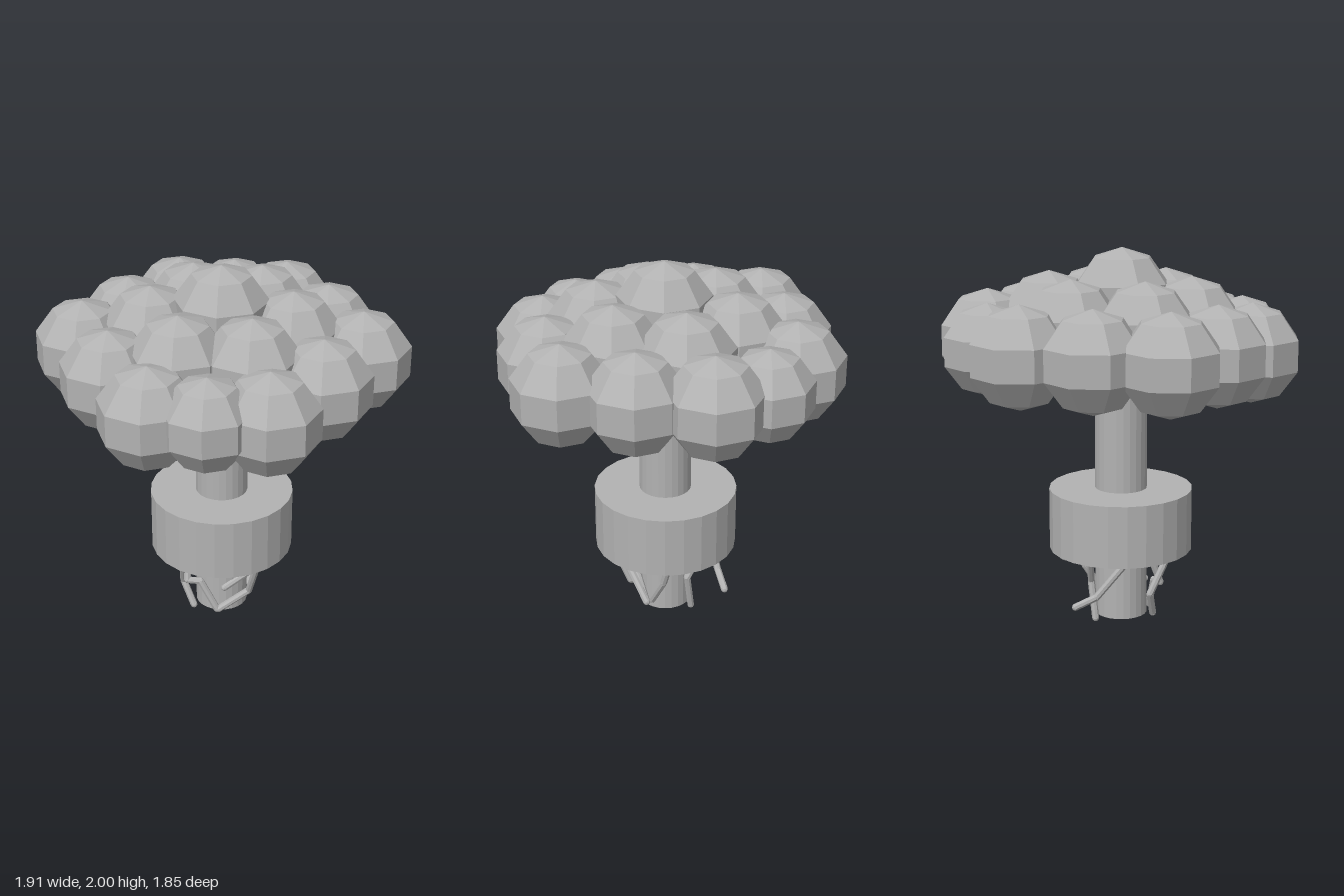
import * as THREE from 'three';

export function createModel() {
  const model = new THREE.Group();
  model.name = 'pottedTree';
  const grey = new THREE.MeshStandardMaterial({ color: 0xb2b2b2, flatShading: true });
  grey.name = 'plainGrey';

  function add(name, geometry, x, y, z, parent = model) {
    const mesh = new THREE.Mesh(geometry, grey);
    mesh.name = name;
    mesh.position.set(x, y, z);
    parent.add(mesh);
    return mesh;
  }

  // Trunk running through the pot up into the crown
  add('trunk', new THREE.CylinderGeometry(0.135, 0.14, 1.6, 24), 0, 0.83, 0.01);
  add('pot', new THREE.CylinderGeometry(0.38, 0.38, 0.33, 24), 0, 0.565, 0.008);

  // Crown: [x, y, z, radius], mirrored wherever x is not zero
  const crown = new THREE.Group();
  crown.name = 'crown';
  model.add(crown);
  const puffs = [
    [0, 1.742, 0.015, 0.258],
    [0.36, 1.612, 0.005, 0.26], [0.18, 1.6, 0.33, 0.26], [0.18, 1.615, -0.32, 0.26],
    [0.71, 1.517, 0, 0.26], [0.525, 1.505, 0.325, 0.26], [0.525, 1.52, -0.325, 0.26],
    [0.29, 1.463, 0.62, 0.262], [0.29, 1.52, -0.62, 0.262],
    [0, 1.48, 0.695, 0.237], [0, 1.515, -0.7, 0.237],
  ];
  for (const [x, y, z, r] of puffs) {
    for (const side of x ? [1, -1] : [1]) {
      add('leafPuff', new THREE.SphereGeometry(r, 8, 5), side * x, y, z, crown);
    }
  }

  // Roots: bent chains of thin rods hanging below the pot
  const roots = new THREE.Group();
  roots.name = 'roots';
  model.add(roots);
  const up = new THREE.Vector3(0, 1, 0);
  function root(points, r = 0.019) {
    const p = points.map((a) => new THREE.Vector3(...a));
    for (let i = 0; i + 1 < p.length; i++) {
      const dir = p[i + 1].clone().sub(p[i]);
      const mid = p[i].clone().add(p[i + 1]).multiplyScalar(0.5);
      const rod = add('rootRod', new THREE.CylinderGeometry(r, r, dir.length(), 8), mid.x, mid.y, mid.z, roots);
      rod.quaternion.setFromUnitVectors(up, dir.normalize());
      add('rootJoint', new THREE.SphereGeometry(r, 8, 6), p[i + 1].x, p[i + 1].y, p[i + 1].z, roots);
    }
  }
  root([[0.32, 0.41, -0.02], [0.345, 0.245, -0.2], [0.17, 0.245, 0.06], [0.03, 0.185, 0.16]]);
  root([[0.22, 0.41, 0.22], [0.16, 0.15, 0.12], [0, 0.05, 0.17]]);
  root([[-0.18, 0.41, 0.1], [-0.17, 0.23, 0.17], [-0.1, 0.22, 0.16], [-0.01, 0.05, 0.17]]);
  root([[-0.26, 0.41, -0.04], [-0.2, 0.2, -0.2], [-0.15, 0.14, -0.3]]);
  root([[-0.19, 0.41, 0.22], [-0.2, 0.18, 0.1], [-0.14, 0.05, 0.14]]);
  root([[0.17, 0.41, -0.2], [0.16, 0.25, -0.14], [0.15, 0.09, -0.04]]);
  root([[-0.1, 0.41, -0.2], [0.0, 0.22, -0.16], [-0.04, 0.02, -0.15]]);
  return model;
}
